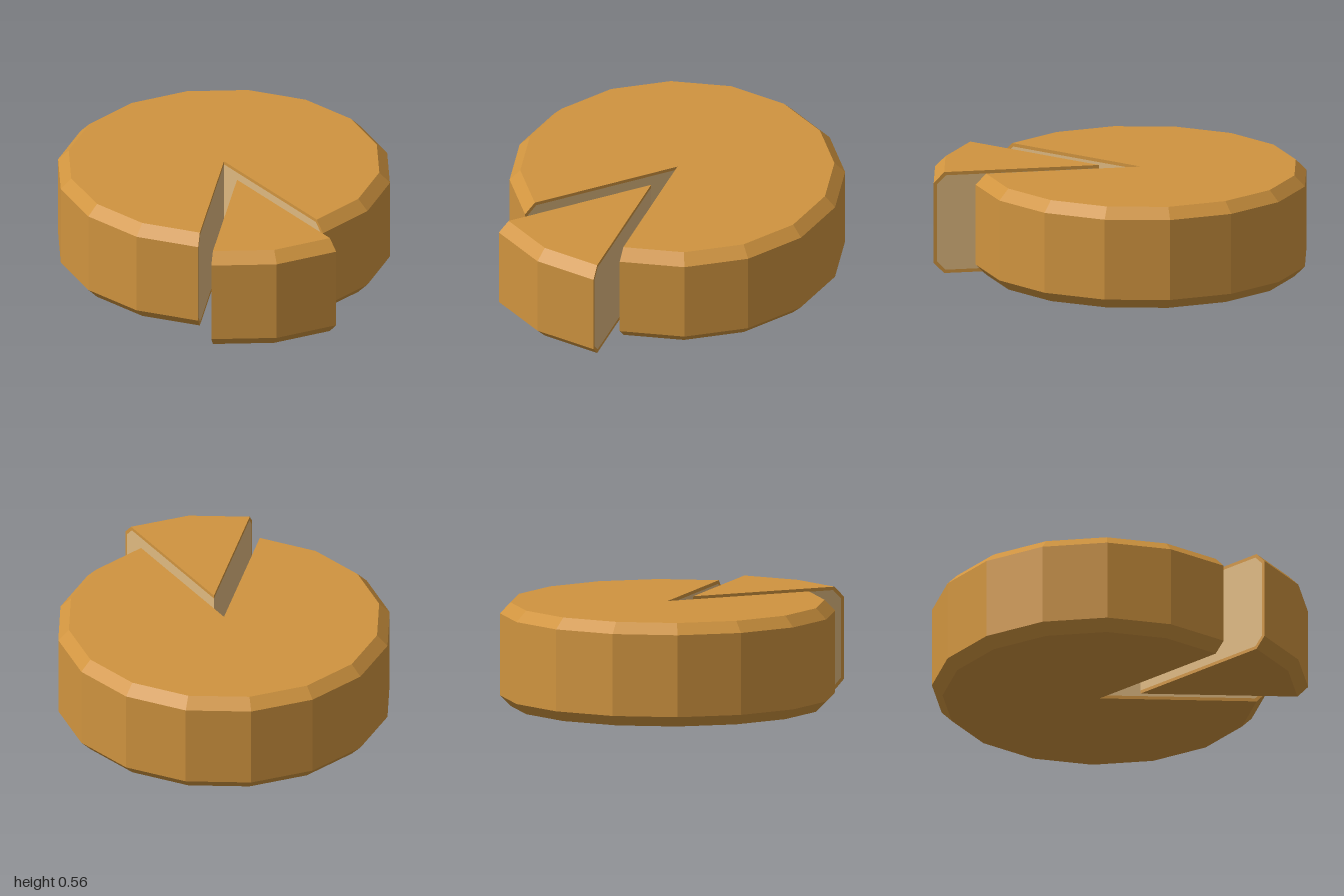
import * as THREE from 'three';

const R = 0.893, RIM = 0.836, H = 0.556, LOW = 0.058, HIGH = 0.498, SKIN = 0.018;

const rind = new THREE.MeshStandardMaterial({ color: 0xd0943f, flatShading: true });
const cutRind = new THREE.MeshStandardMaterial({ color: 0xd0943f, side: THREE.DoubleSide });
const cutInside = new THREE.MeshStandardMaterial({ color: 0xdfb980, side: THREE.DoubleSide });

const points = (list) => list.map(([x, y]) => new THREE.Vector2(x, y));

// Half section of the wheel, from the axis round the bevelled rim
const outer = points([[0, 0], [RIM, 0], [R, LOW], [R, HIGH], [RIM, H], [0, H]]);

// The same section, inset by the thickness of the rind
const inner = points([
  [0, SKIN], [RIM - 0.008, SKIN], [R - SKIN, LOW + 0.008],
  [R - SKIN, HIGH - 0.008], [RIM - 0.008, H - SKIN], [0, H - SKIN],
]);

// Flat cut: pale inside, edged by a thin C-shaped strip of rind
function cutFace(name, angle) {
  const group = new THREE.Group();
  group.name = name;
  const edge = new THREE.Shape([...outer, ...inner.slice().reverse()]);
  const edgeMesh = new THREE.Mesh(new THREE.ShapeGeometry(edge), cutRind);
  edgeMesh.name = 'cutRindEdge';
  const insideMesh = new THREE.Mesh(new THREE.ShapeGeometry(new THREE.Shape(inner)), cutInside);
  insideMesh.name = 'cutInside';
  group.add(edgeMesh, insideMesh);
  group.rotation.y = -angle;
  return group;
}

// Sector of the 16-sided wheel, closed by its two cuts
function sector(name, phiStart, sides) {
  const group = new THREE.Group();
  group.name = name;
  const skin = new THREE.Mesh(
    new THREE.LatheGeometry(outer, sides, phiStart, sides * Math.PI / 8), rind);
  skin.name = 'rind';
  group.add(skin, cutFace('straightCut', 0), cutFace('diagonalCut', Math.PI / 4));
  return group;
}

export function createModel() {
  const model = new THREE.Group();
  model.name = 'cheeseWheel';

  // Wheel with an eighth missing
  const wheel = sector('wheel', Math.PI / 2, 14);
  wheel.position.set(-0.107, 0, 0);

  // The missing eighth, pulled outwards
  const slice = sector('slice', Math.PI / 4, 2);
  slice.position.set(0.107, 0, 0.07);

  model.add(wheel, slice);
  return model;
}
